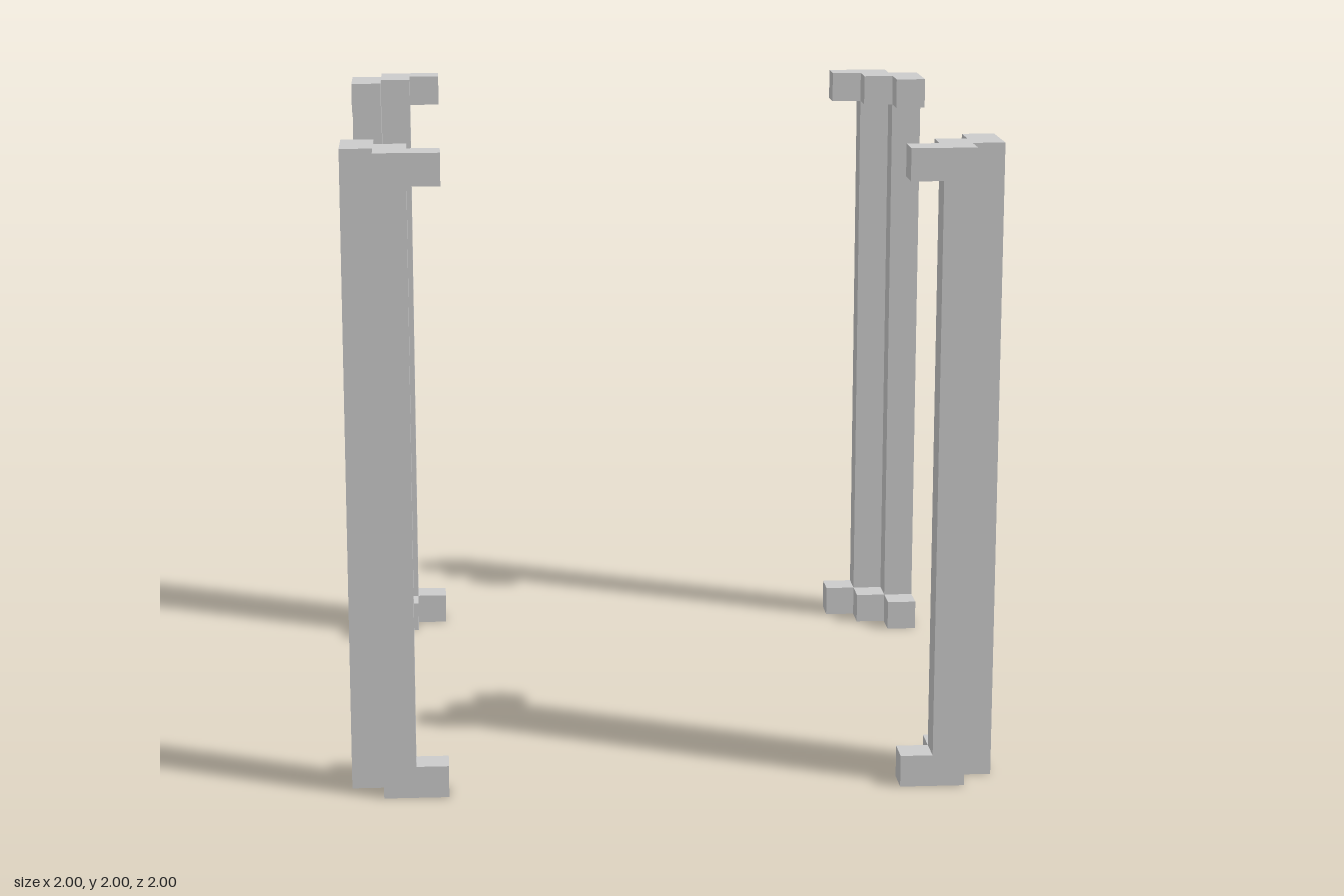
import * as THREE from 'three';

const U = 0.1; // block size
const H = 2; // overall height
const material = new THREE.MeshStandardMaterial({ color: 0xcccccc, flatShading: true });

// Full-height column with a one-block arm at each end, pointing inwards
function bracketGeometry(side) {
  const profile = [
    [0.9, 0], [0.9, H], [0.7, H], [0.7, H - U],
    [0.8, H - U], [0.8, U], [0.7, U], [0.7, 0],
  ].map(([x, y]) => new THREE.Vector2(side * x, y));
  const geometry = new THREE.ExtrudeGeometry(new THREE.Shape(profile), { depth: U, bevelEnabled: false });
  return geometry.translate(0, 0, 1 - U);
}

// One corner post: two columns meeting at an edge, joined by blocks top and bottom
function createCorner(name) {
  const corner = new THREE.Group();
  corner.name = name;

  const frontBracket = new THREE.Mesh(bracketGeometry(1), material);
  frontBracket.name = 'frontBracket';
  const sideBracket = new THREE.Mesh(bracketGeometry(-1), material);
  sideBracket.name = 'sideBracket';
  sideBracket.rotation.y = Math.PI / 2;
  corner.add(frontBracket, sideBracket);

  for (const [label, y] of [['bottomBlock', U / 2], ['topBlock', H - U / 2]]) {
    const block = new THREE.Mesh(new THREE.BoxGeometry(U, U, U), material);
    block.name = label;
    block.position.set(0.85, y, 0.85);
    corner.add(block);
  }
  return corner;
}

export function createModel() {
  const model = new THREE.Group();
  model.name = 'cornerFrame';
  // The same corner, turned a quarter each time
  ['frontLeftCorner', 'backLeftCorner', 'backRightCorner', 'frontRightCorner'].forEach((name, i) => {
    const corner = createCorner(name);
    corner.rotation.y = (i * Math.PI) / 2;
    model.add(corner);
  });
  return model;
}
